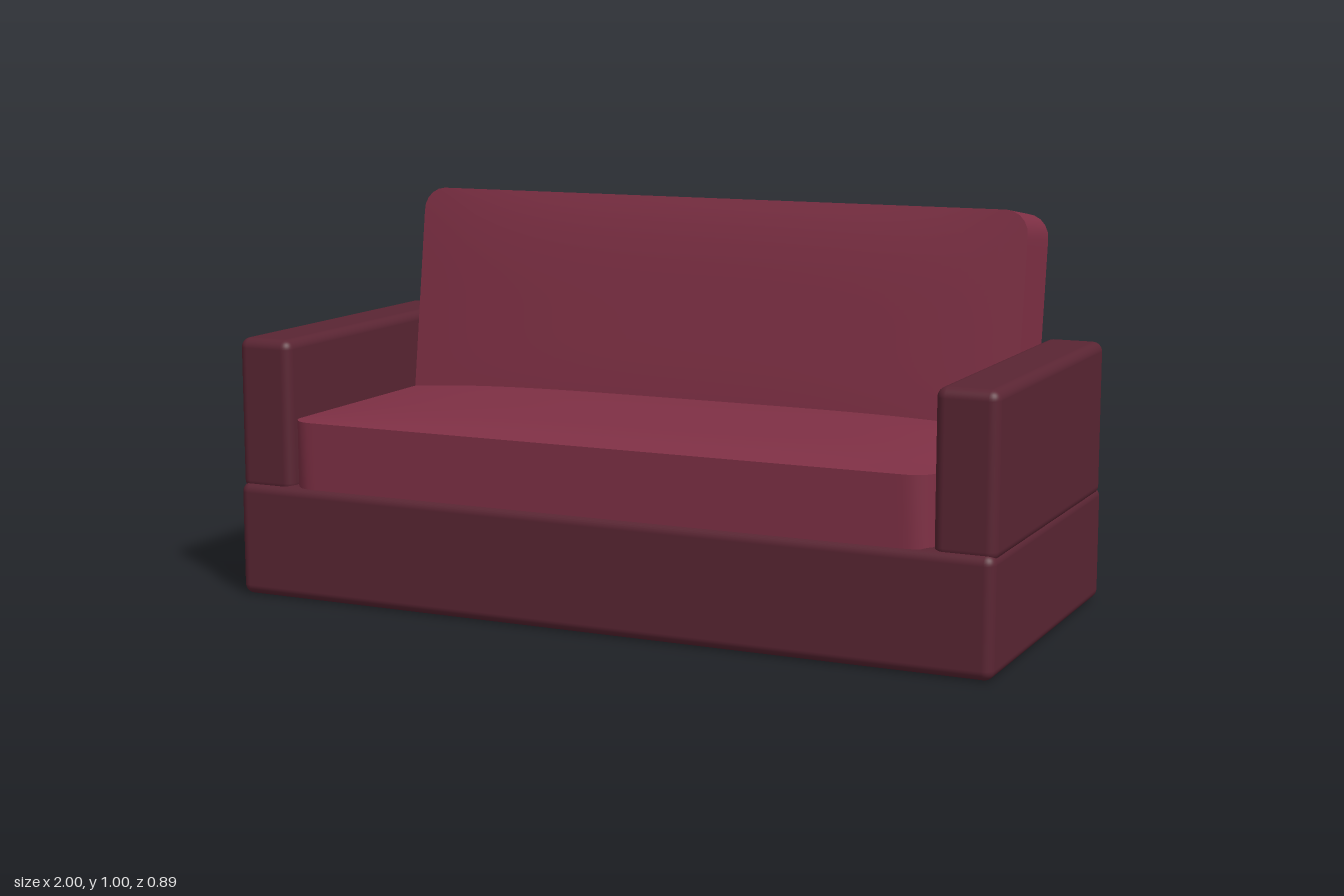
import * as THREE from 'three';
import { RoundedBoxGeometry } from 'three/addons/geometries/RoundedBoxGeometry.js';
import { toCreasedNormals } from 'three/addons/utils/BufferGeometryUtils.js';

const frameMat = new THREE.MeshStandardMaterial({ color: 0x5a2533 });
const cushionMat = new THREE.MeshStandardMaterial({ color: 0x7f3045 });

// Rounded box given by its centre and size
function block(name, size, pos) {
  const mesh = new THREE.Mesh(new RoundedBoxGeometry(...size, 4, 0.025), frameMat);
  mesh.name = name;
  mesh.position.set(...pos);
  return mesh;
}

// Rounded rectangle outline, centred on x, from y = 0 to y = h
function outline(w, h, r) {
  const s = new THREE.Shape();
  const x = w / 2;
  s.moveTo(0, 0);
  s.lineTo(x - r, 0);
  s.absarc(x - r, r, r, -Math.PI / 2, 0);
  s.lineTo(x, h - r);
  s.absarc(x - r, h - r, r, 0, Math.PI / 2);
  s.lineTo(-x + r, h);
  s.absarc(-x + r, h - r, r, Math.PI / 2, Math.PI);
  s.lineTo(-x, r);
  s.absarc(-x + r, r, r, Math.PI, Math.PI * 1.5);
  s.lineTo(0, 0);
  return s.getSpacedPoints(240);
}

// Slab with crisp edges whose +z face swells outward
function cushion(name, w, h, depth, r, bulge) {
  const group = new THREE.Group();
  group.name = name;
  const pts = outline(w, h, r);
  const slab = new THREE.ExtrudeGeometry(new THREE.Shape(pts.slice(0, -1)), { depth, bevelEnabled: false });
  const body = new THREE.Mesh(toCreasedNormals(slab, Math.PI / 5), cushionMat);
  body.name = name + 'Body';

  // Swollen face made of concentric rings
  const rings = 12, n = pts.length, pos = [], idx = [];
  for (let i = 0; i <= rings; i++) {
    const s = i / rings;
    for (let j = 0; j < n; j++) {
      const x = pts[j].x * s, y = (pts[j].y - h / 2) * s;
      const rise = i === rings ? 0 : bulge * (1 - (2 * x / w) ** 4) * (1 - (2 * y / h) ** 4);
      pos.push(x, y + h / 2, depth + rise);
      if (i < rings && j < n - 1) {
        const a = i * n + j, b = a + n;
        idx.push(a, b, b + 1);
        if (i > 0) idx.push(a, b + 1, a + 1);
      }
    }
  }
  const dome = new THREE.BufferGeometry();
  dome.setAttribute('position', new THREE.Float32BufferAttribute(pos, 3));
  dome.setIndex(idx);
  dome.computeVertexNormals();
  // Shared centre points straight along the face
  for (let j = 0; j < n; j++) dome.attributes.normal.setXYZ(j, 0, 0, 1);
  const face = new THREE.Mesh(dome, cushionMat);
  face.name = name + 'Face';
  group.add(body, face);
  return group;
}

export function createModel() {
  const sofa = new THREE.Group();
  sofa.name = 'sofa';

  // Base and armrests
  sofa.add(block('base', [2, 0.29, 0.89], [0, 0.145, 0]));
  for (const [name, side] of [['leftArm', 1], ['rightArm', -1]]) {
    sofa.add(block(name, [0.15, 0.39, 0.866], [side * 0.925, 0.465, 0]));
  }

  // Seat cushion lying face up
  const seat = cushion('seatCushion', 1.7, 0.74, 0.17, 0.06, 0.027);
  seat.rotation.x = -Math.PI / 2;
  seat.position.set(0, 0.288, 0.441);
  sofa.add(seat);

  // Back cushion leaning backward
  const back = cushion('backCushion', 1.7, 0.67, 0.178, 0.06, 0.018);
  back.rotation.x = -0.14;
  back.position.set(0, 0.307, -0.341);
  sofa.add(back);

  return sofa;
}
